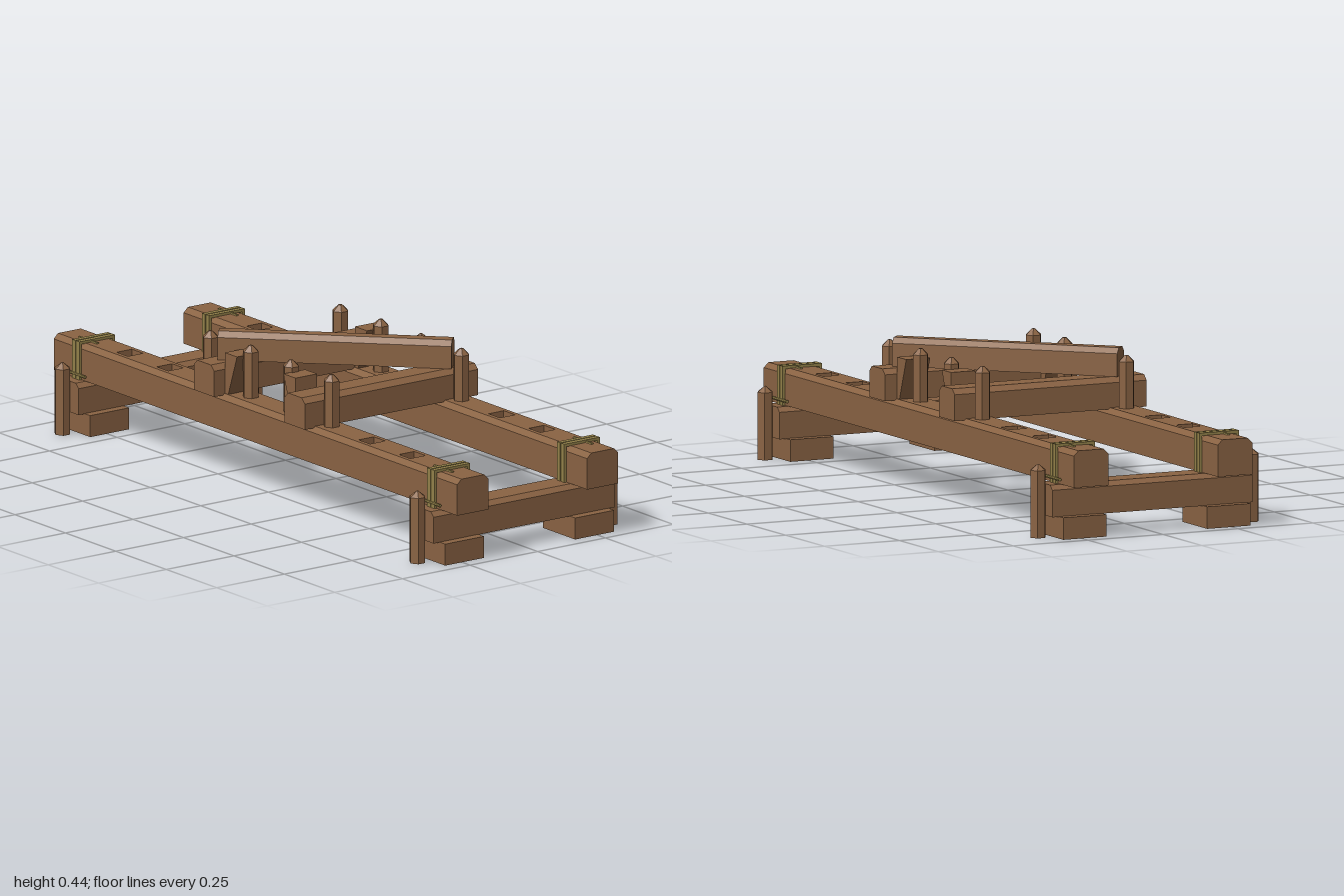
import * as THREE from 'three';

const wood = new THREE.MeshStandardMaterial({ color: 0x8a6343, flatShading: true });
wood.name = 'wood';
const rope = new THREE.MeshStandardMaterial({ color: 0x94824a, flatShading: true });
rope.name = 'rope';

// Outline in x/y, extruded along z and centred on z = 0
function prism(points, length) {
  const shape = new THREE.Shape(points.map(([x, y]) => new THREE.Vector2(x, y)));
  return new THREE.ExtrudeGeometry(shape, { depth: length, bevelEnabled: false })
    .translate(0, 0, -length / 2);
}

// Timber along z, standing on y = 0, with both top edges chamfered
function timber(width, height, length, c) {
  const w = width / 2;
  return prism([[-w, 0], [w, 0], [w, height - c], [w - c, height], [-w + c, height], [-w, height - c]], length);
}

function rect(path, x0, y0, x1, y1) {
  path.moveTo(x0, y0);
  path.lineTo(x1, y0);
  path.lineTo(x1, y1);
  path.lineTo(x0, y1);
  path.closePath();
  return path;
}

function add(parent, name, geometry, x = 0, y = 0, z = 0, material = wood) {
  const mesh = new THREE.Mesh(geometry, material);
  mesh.name = name;
  mesh.position.set(x, y, z);
  parent.add(mesh);
  return mesh;
}

// Six-sided peg with a pointed head
function peg(parent, name, x, z, bottom, shoulder, top, tipRadius) {
  const g = new THREE.Group();
  g.name = name;
  const r = 0.025, h = shoulder - bottom, t = top - shoulder;
  add(g, 'pegShaft', new THREE.CylinderGeometry(r, r, h, 6), 0, bottom + h / 2, 0);
  add(g, 'pegTip', new THREE.CylinderGeometry(tipRadius, r, t, 6), 0, shoulder + t / 2, 0);
  g.position.set(x, 0, z);
  parent.add(g);
}

// Long side beam with square pockets cut in its top
function longBeam(parent, z) {
  const g = new THREE.Group();
  g.name = 'longBeam';
  const bottom = 0.16, floor = 0.24, top = 0.27, half = 0.0575, inner = 0.042;
  add(g, 'beamBody', new THREE.BoxGeometry(2, floor - bottom, half * 2), 0, (bottom + floor) / 2, 0);
  const plan = rect(new THREE.Shape(), -1, -inner, 1, inner);
  for (const x of [-0.7, -0.5, 0.5, 0.7]) {
    plan.holes.push(rect(new THREE.Path(), x - 0.028, -0.028, x + 0.028, 0.028));
  }
  const slab = new THREE.ExtrudeGeometry(plan, { depth: top - floor, bevelEnabled: false }).rotateX(-Math.PI / 2);
  add(g, 'beamTop', slab, 0, floor, 0);
  for (const s of [-1, 1]) {
    const edge = prism([[inner, floor], [half, floor], [half, top - 0.015], [inner, top]], 2);
    add(g, 'beamEdge', edge).rotation.y = -s * Math.PI / 2;
  }
  g.position.z = z;
  parent.add(g);
}

// Rope bands around a long beam, with two short rope ends
function lashing(parent, x, side) {
  const g = new THREE.Group();
  g.name = 'lashing';
  const ring = rect(new THREE.Shape(), -0.066, 0.156, 0.066, 0.278);
  ring.holes.push(rect(new THREE.Path(), -0.057, 0.161, 0.057, 0.269));
  const band = new THREE.ExtrudeGeometry(ring, { depth: 0.016, bevelEnabled: false })
    .translate(0, 0, -0.008).rotateY(Math.PI / 2);
  for (const dx of [-0.01, 0.01]) add(g, 'ropeBand', band, dx, 0, 0, rope);
  const strand = new THREE.CylinderGeometry(0.005, 0.005, 0.09, 8).rotateZ(Math.PI / 2);
  add(g, 'ropeEnd', strand, 0, 0.27, side * 0.018, rope);
  add(g, 'ropeEnd', strand, 0, 0.175, side * 0.065, rope);
  g.position.set(x, 0, side * 0.24);
  parent.add(g);
}

export function createModel() {
  const model = new THREE.Group();
  model.name = 'timberFrame';
  const sides = [-1, 1];

  for (const sz of sides) longBeam(model, sz * 0.24);

  for (const sx of sides) {
    // End sill, feet, stakes and lashings
    add(model, 'endSill', timber(0.104, 0.095, 0.668, 0.014), sx * 0.88, 0.065, 0);
    // Raised cross beam
    add(model, 'crossBeam', timber(0.1, 0.095, 0.64, 0.016), sx * 0.225, 0.265, 0);
    for (const sz of sides) {
      add(model, 'foot', new THREE.BoxGeometry(0.16, 0.066, 0.144), sx * 0.88, 0.033, sz * 0.24);
      peg(model, 'outerStake', sx * 0.88, sz * 0.355, 0, 0.202, 0.22, 0.002);
      lashing(model, sx * 0.88, sz);
      // Pegs on both sides of the cross beam, tightened with a wedge
      for (const x of [0.3, 0.1]) peg(model, 'beamPeg', sx * x, sz * 0.24, 0.25, 0.41, 0.428, 0.006);
      const a = sx * 0.175, b = sx * 0.16, c = sx * 0.115;
      const outline = [[a, 0.265], [a, 0.395], [c, 0.395], [b, 0.265]];
      add(model, 'wedge', prism(outline, 0.08), 0, 0, sz * 0.24);
    }
  }

  // Diagonal brace resting on the cross beams
  const brace = add(model, 'diagonalBrace', timber(0.066, 0.085, 0.7, 0.016), 0, 0.36, 0);
  brace.rotation.y = -Math.PI / 4;
  return model;
}
